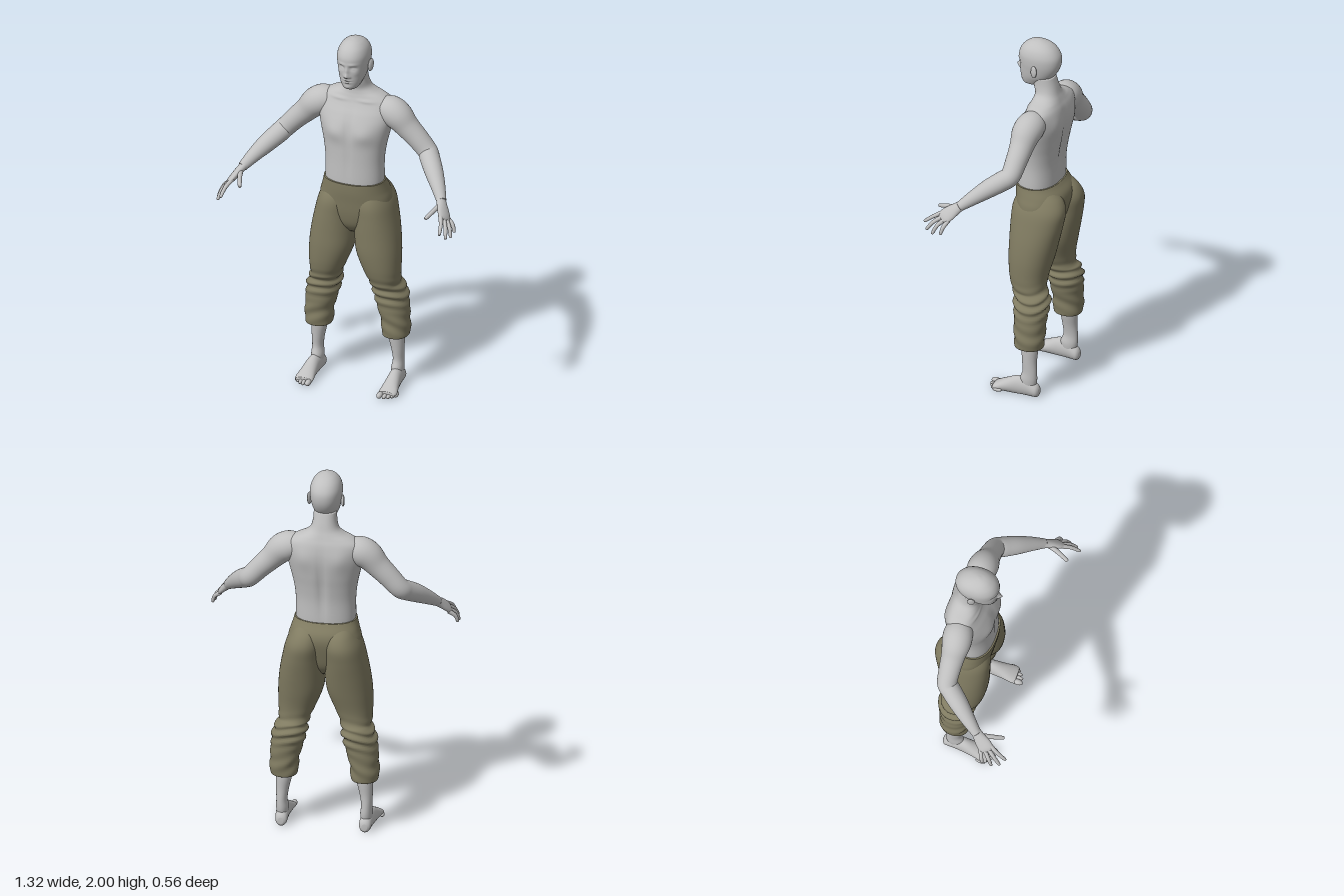
import * as THREE from 'three';

const V = (x, y, z) => new THREE.Vector3(x, y, z);
const X = V(1, 0, 0), Y = V(0, 1, 0), Z = V(0, 0, 1);

// Smooth interpolation through rows of numbers
function resample(rows, steps) {
  const out = [], n = rows.length - 1;
  for (let i = 0; i < n; i++) for (let s = 0; s < steps; s++) out.push(mix(i, s / steps));
  out.push(rows[n]);
  return out;
  function mix(i, t) {
    const [a, b, c, d] = [rows[Math.max(i - 1, 0)], rows[i], rows[i + 1], rows[Math.min(i + 2, n)]];
    return b.map((_, k) => b[k] + 0.5 * t * (c[k] - a[k]
      + t * (2 * a[k] - 5 * b[k] + 4 * c[k] - d[k] + t * (3 * (b[k] - c[k]) + d[k] - a[k]))));
  }
}

// Skin over cross-sections [x, y, z, ru, rv]; ref gives the u direction,
// axis fixes the ring plane, otherwise rings follow the path
function loft(rows, { ref = X, axis = null, seg = 32, steps = 5, pow = 1, shape = null } = {}) {
  const R = resample(rows, steps), pos = [], idx = [];
  const C = R.map(r => V(r[0], r[1], r[2]));
  const bend = c => Math.sign(c) * Math.abs(c) ** pow;
  R.forEach((r, i) => {
    const t = axis ? axis.clone()
      : C[Math.min(i + 1, C.length - 1)].clone().sub(C[Math.max(i - 1, 0)]).normalize();
    const u = ref.clone().addScaledVector(t, -ref.dot(t)).normalize(), v = t.clone().cross(u);
    for (let j = 0; j < seg; j++) {
      const a = j / seg * Math.PI * 2;
      const n = V(0, 0, 0).addScaledVector(u, Math.cos(a)).addScaledVector(v, Math.sin(a));
      const p = C[i].clone().addScaledVector(u, bend(Math.cos(a)) * Math.max(r[3], 0.002))
        .addScaledVector(v, bend(Math.sin(a)) * Math.max(r[4], 0.002));
      if (shape) shape(p, n, a);
      pos.push(p.x, p.y, p.z);
      if (i < R.length - 1) {
        const k = (j + 1) % seg, A = i * seg, B = A + seg;
        idx.push(A + j, A + k, B + j, A + k, B + k, B + j);
      }
    }
  });
  const last = (R.length - 1) * seg, c0 = R.length * seg;
  [C[0], C[C.length - 1]].forEach(c => pos.push(c.x, c.y, c.z));
  for (let j = 0; j < seg; j++) {
    const k = (j + 1) % seg;
    idx.push(c0, k, j, c0 + 1, last + j, last + k);
  }
  const g = new THREE.BufferGeometry();
  g.setAttribute('position', new THREE.Float32BufferAttribute(pos, 3));
  g.setIndex(idx);
  g.computeVertexNormals();
  return g;
}

// Upright body part from rows [y, centreX, halfWidth, backZ, frontZ]
const upright = (rows, opt) => loft(
  rows.map(([y, x, rx, b, f]) => [x, y, (b + f) / 2, rx, (f - b) / 2]), { axis: Y, ...opt });

// Soft mirrored bumps [x, y, spreadX, spreadY, height] on the front (1) or back (-1)
const bumps = (list, side) => (p, n) => {
  const w = Math.max(0, n.z * side), x = Math.abs(p.x), y = p.y;
  let d = 0;
  for (const [bx, by, sx, sy, h] of list) d += h * Math.exp(-(((x - bx) / sx) ** 2) - ((y - by) / sy) ** 2);
  p.z += side * w * d;
};

function mirrored(g) {
  const m = g.clone().scale(-1, 1, 1), i = m.index.array;
  for (let k = 0; k < i.length; k += 3) [i[k], i[k + 1]] = [i[k + 1], i[k]];
  m.computeVertexNormals();
  return m;
}

export function createModel() {
  const skin = new THREE.MeshStandardMaterial({ name: 'skin grey', color: 0xc0c0c0 });
  const cloth = new THREE.MeshStandardMaterial({ name: 'olive cloth', color: 0x807b61 });
  const model = new THREE.Group();
  model.name = 'standingMan';
  const add = (name, g, mat = skin) => {
    const m = new THREE.Mesh(g, mat);
    m.name = name;
    model.add(m);
  };
  const pair = (name, g, mat) => {
    add('left' + name, g, mat);
    add('right' + name, mirrored(g), mat);
  };

  // Torso and neck
  const chest = bumps([[0.085, 1.475, 0.06, 0.045, 0.014], [0, 1.5, 0.016, 0.08, -0.008],
    [0, 1.32, 0.012, 0.1, -0.004], [0.08, 1.645, 0.05, 0.009, 0.006]], 1);
  const back = bumps([[0, 1.4, 0.02, 0.17, -0.014], [0.1, 1.56, 0.05, 0.06, 0.01]], -1);
  add('torso', upright([
    [1.15, 0, 0.155, -0.195, 0.018], [1.2, 0, 0.158, -0.198, 0.02], [1.3, 0, 0.158, -0.2, 0.018],
    [1.38, 0, 0.167, -0.21, 0.018], [1.45, 0, 0.182, -0.222, 0.018], [1.52, 0, 0.198, -0.23, 0.008],
    [1.57, 0, 0.205, -0.23, -0.012], [1.61, 0, 0.205, -0.225, -0.035], [1.64, 0, 0.19, -0.218, -0.05],
    [1.665, 0, 0.15, -0.208, -0.058], [1.685, 0, 0.105, -0.2, -0.063], [1.71, 0, 0.075, -0.19, -0.064],
    [1.75, 0, 0.063, -0.178, -0.052], [1.8, 0, 0.06, -0.162, -0.05],
  ], { seg: 72, pow: 0.88, shape: (p, n) => { chest(p, n); back(p, n); } }));

  // Head with modelled face
  add('head', upright([
    [1.735, 0, 0.028, -0.06, 0.005], [1.745, 0, 0.042, -0.09, 0.018], [1.77, 0, 0.056, -0.12, 0.025],
    [1.8, 0, 0.068, -0.158, 0.028], [1.84, 0, 0.077, -0.185, 0.03], [1.88, 0, 0.083, -0.197, 0.034],
    [1.92, 0, 0.083, -0.195, 0.034], [1.955, 0, 0.072, -0.175, 0.018], [1.98, 0, 0.052, -0.145, -0.008],
    [1.994, 0, 0.028, -0.11, -0.035], [2, 0, 0.006, -0.08, -0.066],
  ], { seg: 96, steps: 8, pow: 0.92, shape: bumps([
    [0, 1.824, 0.012, 0.013, 0.024], [0, 1.85, 0.01, 0.024, 0.013], [0.014, 1.818, 0.007, 0.007, 0.008],
    [0.032, 1.867, 0.017, 0.011, -0.013], [0.032, 1.864, 0.01, 0.006, 0.007], [0.03, 1.888, 0.025, 0.008, 0.005],
    [0, 1.797, 0.02, 0.005, 0.008], [0, 1.783, 0.018, 0.005, 0.007], [0, 1.79, 0.022, 0.002, -0.005],
    [0, 1.755, 0.02, 0.012, 0.005], [0.048, 1.835, 0.016, 0.016, 0.004],
  ], 1) }));
  const ear = new THREE.SphereGeometry(1, 20, 14).scale(0.009, 0.036, 0.021);
  pair('Ear', ear.rotateX(-0.15).rotateY(-0.35).translate(0.089, 1.85, -0.088));

  // Arms
  pair('Arm', loft([
    [0.12, 1.585, -0.13, 0.06], [0.18, 1.588, -0.125, 0.077], [0.23, 1.563, -0.12, 0.077],
    [0.28, 1.51, -0.12, 0.064], [0.34, 1.45, -0.12, 0.057], [0.395, 1.39, -0.115, 0.053],
    [0.42, 1.365, -0.085, 0.053], [0.465, 1.325, -0.025, 0.049], [0.51, 1.28, 0.035, 0.039],
    [0.545, 1.24, 0.085, 0.029], [0.555, 1.228, 0.1, 0.026],
  ].map(r => [...r, r[3]]), { ref: Y }));

  // Hands
  pair('Palm', loft([
    [0.54, 1.245, 0.08, 0.025, 0.023], [0.56, 1.22, 0.11, 0.03, 0.022], [0.58, 1.195, 0.14, 0.039, 0.019],
    [0.597, 1.172, 0.165, 0.041, 0.016], [0.606, 1.158, 0.178, 0.034, 0.01],
  ], { ref: V(0.03, -0.03, -0.055), seg: 24 }));
  const digits = {
    Thumb: [[0.557, 1.215, 0.12], [0.542, 1.205, 0.175], [0.52, 1.183, 0.233]],
    IndexFinger: [[0.58, 1.187, 0.18], [0.601, 1.16, 0.228], [0.61, 1.125, 0.273]],
    MiddleFinger: [[0.593, 1.172, 0.172], [0.622, 1.14, 0.217], [0.635, 1.096, 0.25]],
    RingFinger: [[0.602, 1.162, 0.158], [0.634, 1.13, 0.19], [0.648, 1.087, 0.21]],
    LittleFinger: [[0.606, 1.157, 0.14], [0.638, 1.13, 0.153], [0.65, 1.095, 0.162]],
  };
  for (const [name, [a, b, c]] of Object.entries(digits)) {
    const k = name === 'Thumb' ? 1.2 : 1;
    const tip = c.map((v, i) => v + (c[i] - b[i]) * 0.12);
    pair(name, loft([[...a, 0.012], [...b, 0.0105], [...c, 0.008], [...tip, 0.002]]
      .map(r => [r[0], r[1], r[2], r[3] * k, r[3] * k]), { ref: X, seg: 14 }));
  }

  // Trousers: hips and two baggy legs with gathered folds below the knee
  add('trouserHips', upright([
    [0.88, 0, 0.06, -0.16, -0.05], [0.93, 0, 0.12, -0.2, -0.01], [1, 0, 0.19, -0.225, 0.01],
    [1.08, 0, 0.193, -0.245, 0.02], [1.13, 0, 0.18, -0.24, 0.026], [1.17, 0, 0.168, -0.214, 0.028],
    [1.187, 0, 0.164, -0.203, 0.028],
  ], { seg: 64, pow: 0.88 }), cloth);
  const folds = (p, n, a) => {
    const knee = Math.exp(-(((p.y - 0.54) / 0.065) ** 2)), hem = Math.exp(-(((p.y - 0.36) / 0.06) ** 2));
    const d = 0.009 * knee * Math.sin(p.y * 120 + 1.6 * Math.cos(a) + Math.sin(2 * a + 1))
      + 0.004 * hem * Math.sin(p.y * 70 + 2 * Math.sin(a) + 3 * Math.cos(a));
    p.addScaledVector(n, d);
  };
  pair('TrouserLeg', upright([
    [0.31, 0.213, 0.05, -0.18, -0.08], [0.287, 0.213, 0.066, -0.2, -0.058], [0.3, 0.214, 0.073, -0.208, -0.052],
    [0.36, 0.213, 0.075, -0.212, -0.05], [0.43, 0.203, 0.082, -0.215, -0.045], [0.5, 0.19, 0.088, -0.22, -0.04],
    [0.55, 0.18, 0.086, -0.222, -0.035], [0.585, 0.168, 0.081, -0.213, -0.024], [0.61, 0.163, 0.083, -0.194, -0.012],
    [0.68, 0.149, 0.1, -0.197, 0.008], [0.78, 0.13, 0.119, -0.22, 0.02], [0.88, 0.12, 0.119, -0.243, 0.022],
    [0.98, 0.111, 0.109, -0.265, 0.022], [1.06, 0.1, 0.1, -0.275, 0.018], [1.12, 0.09, 0.08, -0.25, -0.005],
    [1.16, 0.085, 0.06, -0.2, -0.05],
  ], { seg: 48, steps: 6, pow: 0.93, shape: folds }), cloth);

  // Bare shins and feet
  pair('Shin', upright([
    [0.04, 0.223, 0.028, -0.168, -0.095], [0.09, 0.223, 0.033, -0.178, -0.082], [0.14, 0.225, 0.029, -0.178, -0.098],
    [0.2, 0.222, 0.034, -0.175, -0.095], [0.27, 0.215, 0.043, -0.178, -0.088], [0.33, 0.212, 0.045, -0.175, -0.085],
  ]));
  pair('Foot', loft([
    [0.222, 0.03, -0.192, 0.014, 0.018], [0.222, 0.034, -0.178, 0.03, 0.036], [0.224, 0.048, -0.13, 0.034, 0.052],
    [0.228, 0.046, -0.07, 0.036, 0.053], [0.231, 0.034, -0.01, 0.042, 0.039], [0.233, 0.023, 0.035, 0.049, 0.026],
    [0.231, 0.018, 0.06, 0.045, 0.017],
  ], { axis: Z, shape: p => { p.y = Math.max(p.y, 0); } }));
  [[0.2, 0.016, 0.1], [0.225, 0.0115, 0.095], [0.245, 0.011, 0.085], [0.263, 0.0105, 0.07], [0.277, 0.01, 0.054]]
    .forEach(([x, r, tip], i) => pair('Toe' + (i + 1),
      new THREE.SphereGeometry(1, 14, 10).scale(r, r, 0.027).rotateX(0.08).translate(x, r + 0.002, tip - 0.027)));

  return model;
}
